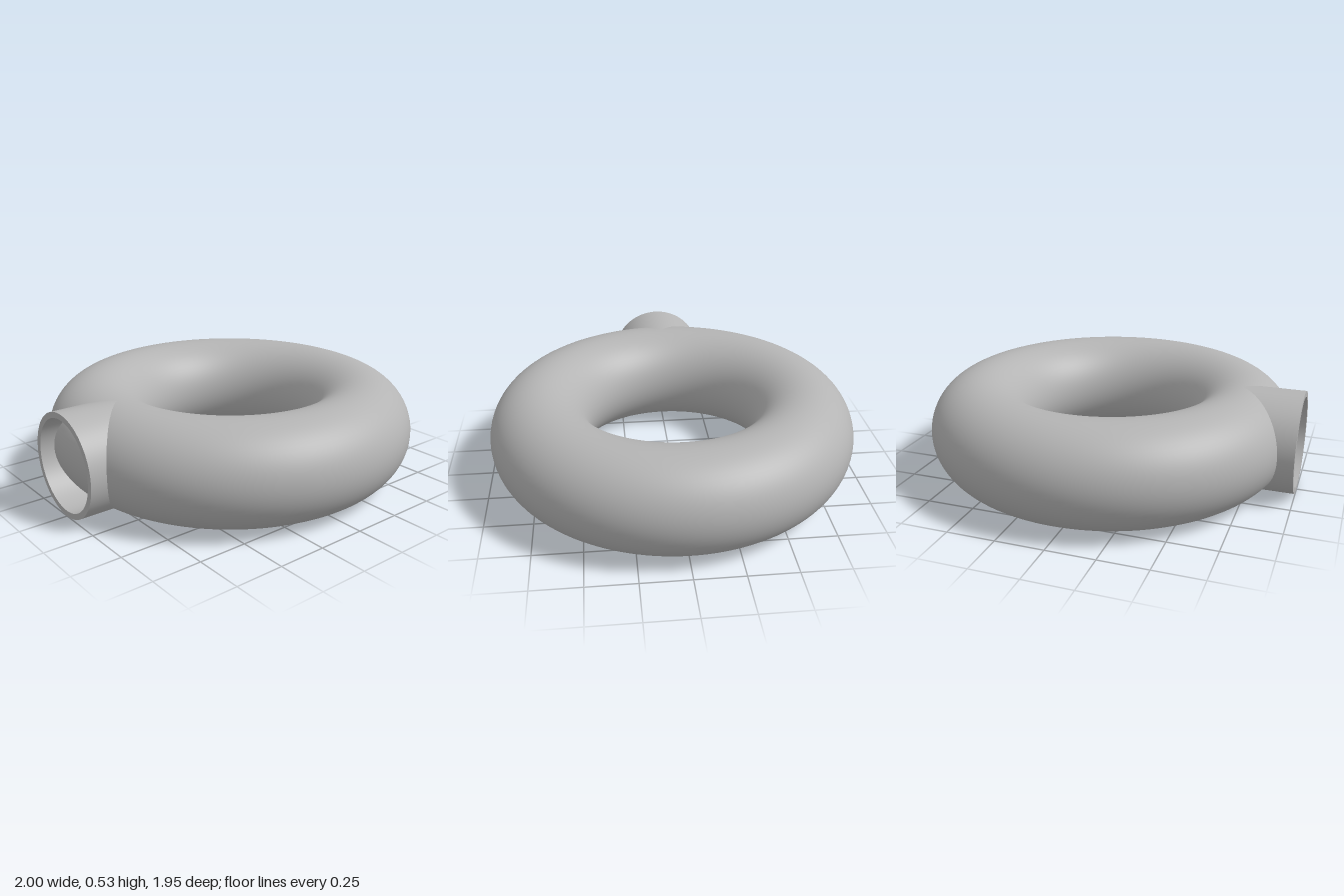
import * as THREE from 'three';

export function createModel() {
  const model = new THREE.Group();
  const grey = new THREE.MeshStandardMaterial({ color: 0xb4b4b4 });
  grey.name = 'grey';

  const tube = 0.266, ringRadius = 0.711, centreX = 0.023;
  const bore = 0.236, mouthX = -1, rootX = centreX - ringRadius;

  const add = (name, geometry, parent) => {
    const mesh = new THREE.Mesh(geometry, grey);
    mesh.name = name;
    parent.add(mesh);
    return mesh;
  };

  // Ring lying flat on the ground
  const ring = add('ring', new THREE.TorusGeometry(ringRadius, tube, 64, 128).rotateX(Math.PI / 2), model);
  ring.position.set(centreX, tube, 0);

  // Short open pipe leaving the ring towards -x; profile runs root, mouth rim, bore
  const pipe = new THREE.Group();
  pipe.name = 'pipe';
  pipe.position.y = tube;
  model.add(pipe);
  const wall = (name, corners) => {
    const points = corners.map(([r, x]) => new THREE.Vector2(r, -x));
    // lathe axis +y turns to -x
    return add(name, new THREE.LatheGeometry(points, 96).rotateZ(Math.PI / 2), pipe);
  };
  wall('pipeOutside', [[tube, rootX], [tube, mouthX]]);
  wall('pipeRim', [[tube, mouthX], [bore, mouthX]]);
  wall('pipeBore', [[bore, mouthX], [bore, rootX]]);

  return model;
}
